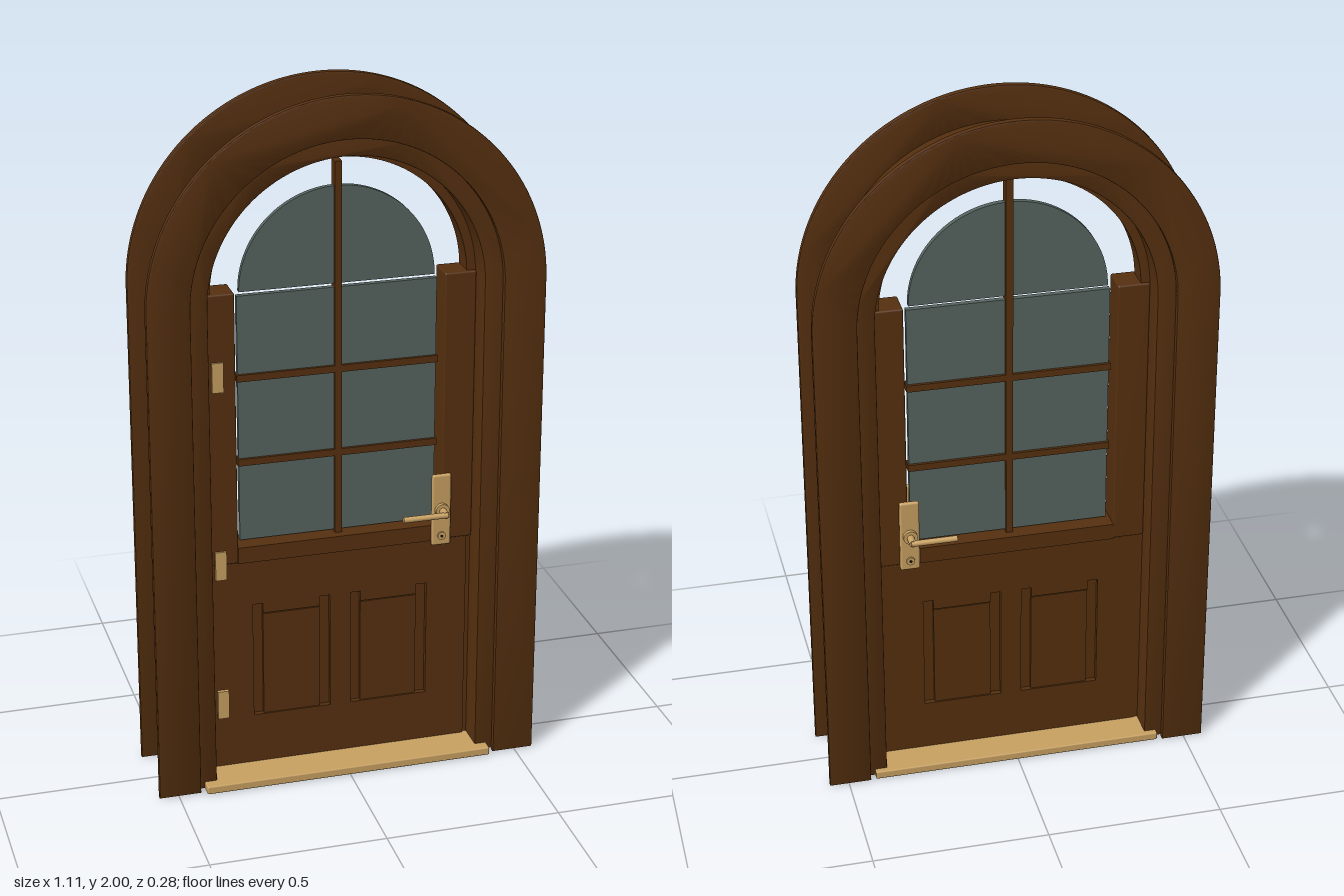
import * as THREE from 'three';
import { toCreasedNormals } from 'three/addons/utils/BufferGeometryUtils.js';
import { RoundedBoxGeometry } from 'three/addons/geometries/RoundedBoxGeometry.js';

const SPRING = 1.445; // height where the arch begins
const ZC = -0.007; // middle plane of the door leaf

export function createModel() {
  const root = new THREE.Group();
  root.name = 'archedDoor';
  const material = (name, color) => {
    const m = new THREE.MeshStandardMaterial({ color });
    m.name = name;
    return m;
  };
  const wood = material('darkWood', 0x56300f);
  const brass = material('brass', 0xc9a162);
  const glass = material('tintedGlass', 0x56645f);
  const dark = material('keyholeBlack', 0x1c140c);

  const add = (name, geometry, mat, x = 0, y = 0, z = 0, parent = root) => {
    const mesh = new THREE.Mesh(geometry, mat);
    mesh.name = name;
    mesh.position.set(x, y, z);
    parent.add(mesh);
    return mesh;
  };
  // box given by its extents
  const box = (name, mat, x0, x1, y0, y1, z0, z1, parent = root) =>
    add(name, new THREE.BoxGeometry(x1 - x0, y1 - y0, z1 - z0), mat,
      (x0 + x1) / 2, (y0 + y1) / 2, (z0 + z1) / 2, parent);

  // extrusion between two depths with an optional small bevel
  const extrude = (shape, z0, z1, bevel = 0) => {
    const g = new THREE.ExtrudeGeometry(shape, {
      depth: z1 - z0 - 2 * bevel, curveSegments: 48, bevelEnabled: bevel > 0,
      bevelThickness: bevel, bevelSize: bevel, bevelOffset: -bevel, bevelSegments: 2,
    });
    g.translate(0, 0, z0 + bevel);
    return toCreasedNormals(g, 0.6);
  };
  // upside-down U band between two radii
  const archBand = (name, rIn, rOut, bottom, z0, z1, bevel) => {
    const s = new THREE.Shape();
    s.moveTo(rOut, bottom);
    s.lineTo(rOut, SPRING);
    s.absarc(0, SPRING, rOut, 0, Math.PI, false);
    s.lineTo(-rOut, bottom);
    s.lineTo(-rIn, bottom);
    s.lineTo(-rIn, SPRING);
    s.absarc(0, SPRING, rIn, Math.PI, 0, true);
    s.lineTo(rIn, bottom);
    s.closePath();
    return add(name, extrude(s, z0, z1, bevel), wood);
  };

  // frame: casings on both faces, jamb lining and door stop
  archBand('frontCasing', 0.435, 0.555, 0, 0.105, 0.125, 0.004);
  archBand('backCasing', 0.435, 0.555, 0, -0.139, -0.119, 0.004);
  archBand('jamb', 0.385, 0.458, 0.003, -0.12, 0.106, 0.003);
  archBand('doorStop', 0.36, 0.387, 0.003, ZC - 0.035, ZC + 0.03, 0);

  // threshold
  add('threshold', new RoundedBoxGeometry(0.84, 0.024, 0.276, 2, 0.004), brass, 0, 0.012, 0.001);

  // lower leaf with two panel openings
  const leaf = new THREE.Group();
  leaf.name = 'doorLeaf';
  root.add(leaf);
  const rect = (path, x0, x1, y0, y1) => {
    path.moveTo(x0, y0);
    path.lineTo(x1, y0);
    path.lineTo(x1, y1);
    path.lineTo(x0, y1);
    path.closePath();
    return path;
  };
  const lower = rect(new THREE.Shape(), -0.372, 0.372, 0.022, 0.705);
  for (const x of [-0.255, 0.03]) {
    lower.holes.push(rect(new THREE.Path(), x, x + 0.225, 0.175, 0.525));
  }
  add('lowerLeaf', extrude(lower, ZC - 0.037, ZC + 0.037), wood, 0, 0, 0, leaf);
  for (const x of [-0.255, 0.03]) {
    box('panelCore', wood, x - 0.005, x + 0.23, 0.17, 0.53, ZC - 0.022, ZC + 0.022, leaf);
    box('panelField', wood, x + 0.03, x + 0.195, 0.175, 0.49, ZC - 0.032, ZC + 0.032, leaf);
    box('panelTopBar', wood, x + 0.03, x + 0.195, 0.494, 0.525, ZC - 0.035, ZC + 0.035, leaf);
  }
  box('glazingSill', wood, -0.296, 0.296, 0.66, 0.708, ZC - 0.045, ZC + 0.045, leaf);

  // upper stiles
  for (const s of [-1, 1]) {
    add('stile', new RoundedBoxGeometry(0.09, 0.795, 0.084, 2, 0.005), wood, s * 0.34, 1.0575, ZC, leaf);
  }

  // glass: three rows of two panes and a half-round light
  const rows = [[0.715, 0.942], [0.96, 1.19], [1.207, 1.434]];
  for (const [y0, y1] of rows) {
    for (const s of [-1, 1]) {
      const a = s * 0.008, b = s * 0.282;
      box('pane', glass, Math.min(a, b), Math.max(a, b), y0, y1, ZC - 0.008, ZC + 0.008, leaf);
    }
  }
  const half = new THREE.Shape();
  half.absarc(0, 1.445, 0.275, 0, Math.PI, false);
  half.closePath();
  add('archLight', extrude(half, ZC - 0.008, ZC + 0.008), glass, 0, 0, 0, leaf);

  // glazing bars
  box('verticalBar', wood, -0.01, 0.01, 0.7, 1.79, ZC - 0.018, ZC + 0.018, leaf);
  for (const y of [0.951, 1.199]) {
    box('horizontalBar', wood, -0.286, 0.286, y - 0.01, y + 0.01, ZC - 0.016, ZC + 0.016, leaf);
  }

  // hinges
  for (const y of [0.225, 0.66, 1.22]) {
    box('hinge', brass, -0.362, -0.33, y - 0.043, y + 0.043, ZC + 0.03, ZC + 0.048, leaf);
  }

  // lever handle on each face
  for (const s of [1, -1]) {
    const handle = new THREE.Group();
    handle.name = s > 0 ? 'frontHandle' : 'backHandle';
    handle.position.set(0.292, 0.757, ZC + s * 0.04);
    root.add(handle);
    const cyl = (name, r, len, mat, x, y, z, alongX = false) => {
      const m = add(name, new THREE.CylinderGeometry(r, r, len, 20), mat, x, y, s * z, handle);
      if (alongX) m.rotation.z = Math.PI / 2;
      else m.rotation.x = Math.PI / 2;
    };
    add('handlePlate', new RoundedBoxGeometry(0.056, 0.216, 0.014, 3, 0.006), brass, 0, -0.002, s * 0.006, handle);
    cyl('rosette', 0.02, 0.012, brass, 0, 0, 0.018);
    cyl('spindle', 0.01, 0.045, brass, 0, 0, 0.034);
    cyl('lever', 0.0085, 0.13, brass, -0.06, 0, 0.054, true);
    cyl('lockCylinder', 0.012, 0.006, brass, 0, -0.08, 0.015);
    cyl('keyhole', 0.004, 0.002, dark, 0, -0.08, 0.019);
  }

  return root;
}
